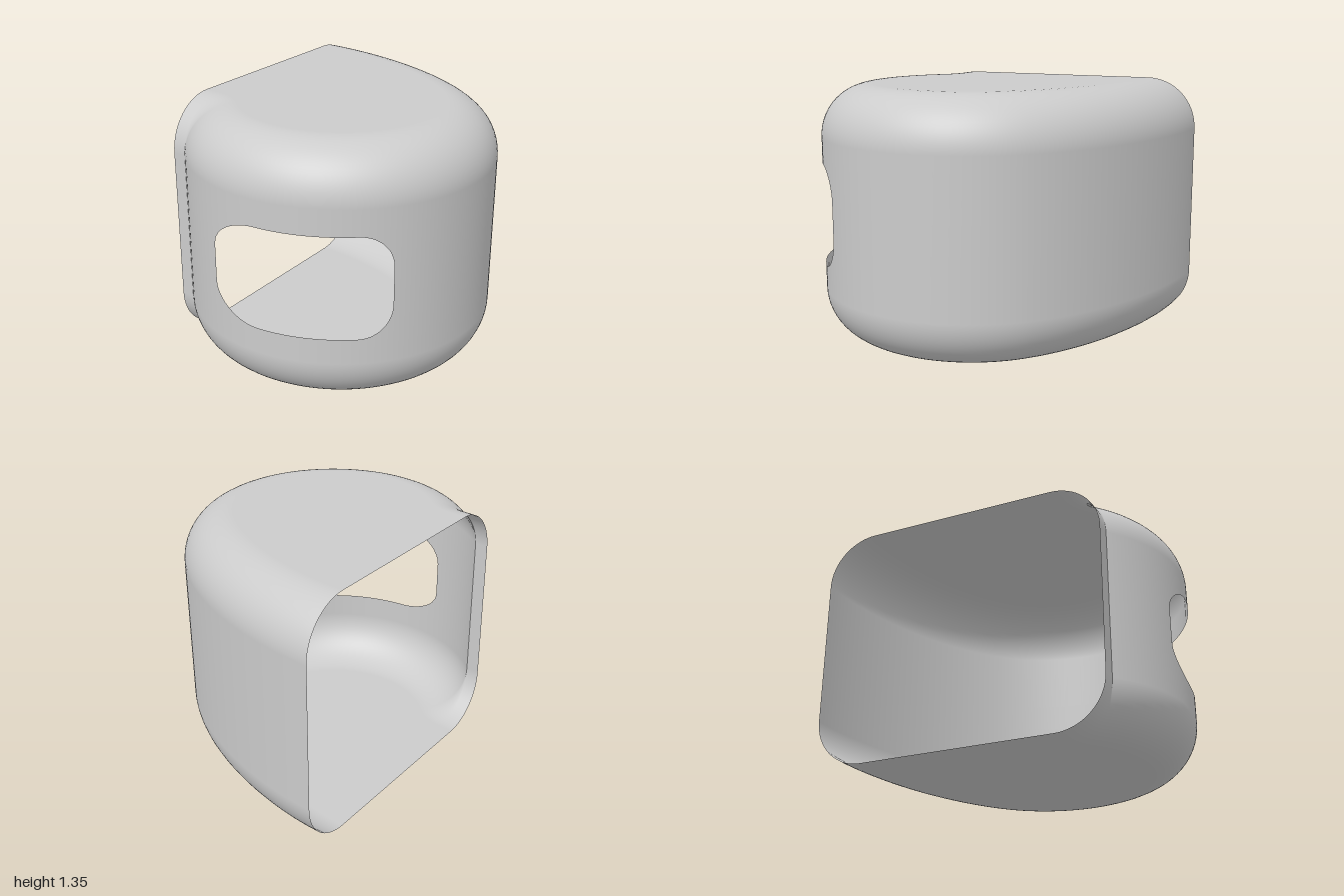
import * as THREE from 'three';

const H = 1.35, R = 0.27;                       // height, edge rounding
const CX = 0.025, CZ = 0.19, CR = 0.805;        // round front of the outline
const WIN = { x0: -0.67, x1: 0.13, y0: 0.405, y1: 0.942, r: 0.17 };
const STEPS = 16;

// Outline columns from the pointed end, round the front, to the small lip:
// position (x, z) and inward direction (nx, nz)
function outline() {
  const cols = [];
  const add = (x, z, nx, nz) => cols.push({ x, z, nx, nz });

  const side = new THREE.CubicBezierCurve(
    new THREE.Vector2(0.3, -1), new THREE.Vector2(0.55, -0.75),
    new THREE.Vector2(CX + CR, CZ - 0.45), new THREE.Vector2(CX + CR, CZ));
  for (let i = 0; i < 32; i++) {
    const p = side.getPoint(i / 32), t = side.getTangent(i / 32);
    add(p.x, p.y, -t.y, t.x);
  }

  // Half circle, with extra columns at the window's rounded corners
  const angles = [];
  for (let i = 0; i <= 64; i++) angles.push(Math.PI * i / 64);
  for (let i = 0; i <= 10; i++) {
    const d = WIN.r * (1 - Math.cos(Math.PI / 2 * i / 10));
    for (const x of [WIN.x0 + d, WIN.x1 - d]) angles.push(Math.acos((x - CX) / CR));
  }
  angles.sort((a, b) => a - b);
  for (const a of angles) {
    const c = Math.cos(a), s = Math.sin(a);
    add(CX + CR * c, CZ + CR * s, -c, -s);
  }

  // Turn at the notch, then the straight lip
  for (let i = 1; i <= 10; i++) {
    const a = Math.PI / 4 * i / 10;
    add(CX - CR, CZ, Math.cos(a), -Math.sin(a));
  }
  add(-0.83, 0.13, Math.SQRT1_2, -Math.SQRT1_2);
  return cols;
}

// Lower and upper window edge at a column, or null outside the window
function windowSpan({ x, z }) {
  if (z < CZ || x < WIN.x0 - 1e-6 || x > WIN.x1 + 1e-6) return null;
  const d = Math.max(0, WIN.r - Math.min(x - WIN.x0, WIN.x1 - x));
  const lift = WIN.r - Math.sqrt(Math.max(0, WIN.r ** 2 - d ** 2));
  return [WIN.y0 + lift, WIN.y1 - lift];
}

// Wall with rounded top and bottom edges, leaving the window open
function wallGeometry(cols) {
  const pos = [], nor = [], idx = [];
  const spans = cols.map(windowSpan);
  const rows = 2 * (STEPS + 1) + 2, gap = STEPS + 1;
  cols.forEach((c, i) => {
    const put = (inset, y, out, up) => {
      pos.push(c.x + c.nx * inset, y, c.z + c.nz * inset);
      nor.push(-c.nx * out, up, -c.nz * out);
    };
    for (let k = STEPS; k >= 0; k--) {
      const a = Math.PI / 2 * k / STEPS, co = Math.cos(a), s = Math.sin(a);
      put(R * (1 - co), R - R * s, co, -s);
    }
    for (const y of spans[i] || [0.6, 0.75]) put(0, y, 1, 0);
    for (let k = 0; k <= STEPS; k++) {
      const a = Math.PI / 2 * k / STEPS, co = Math.cos(a), s = Math.sin(a);
      put(R * (1 - co), H - R + R * s, co, s);
    }
  });
  for (let i = 0; i < cols.length - 1; i++) {
    for (let j = 0; j < rows - 1; j++) {
      if (j === gap && spans[i] && spans[i + 1]) continue;
      const a = i * rows + j, b = a + rows;
      idx.push(a, a + 1, b + 1, a, b + 1, b);
    }
  }
  const g = new THREE.BufferGeometry();
  g.setAttribute('position', new THREE.Float32BufferAttribute(pos, 3));
  g.setAttribute('normal', new THREE.Float32BufferAttribute(nor, 3));
  g.setIndex(idx);
  return g;
}

export function createModel() {
  const group = new THREE.Group();
  group.name = 'hoodShell';
  const material = new THREE.MeshStandardMaterial({ color: 0xcccccc, side: THREE.DoubleSide });
  const cols = outline();
  const add = (name, geometry, y) => {
    const mesh = new THREE.Mesh(geometry, material);
    mesh.name = name;
    mesh.position.y = y;
    group.add(mesh);
  };

  add('wallWithWindow', wallGeometry(cols), 0);

  // Flat roof and floor inside the rounded edges, open along the diagonal back
  const flat = new THREE.ShapeGeometry(new THREE.Shape(
    cols.map(c => new THREE.Vector2(c.x + c.nx * R, -(c.z + c.nz * R)))));
  flat.rotateX(-Math.PI / 2);
  add('roof', flat, H);
  add('floor', flat, 0);
  return group;
}
